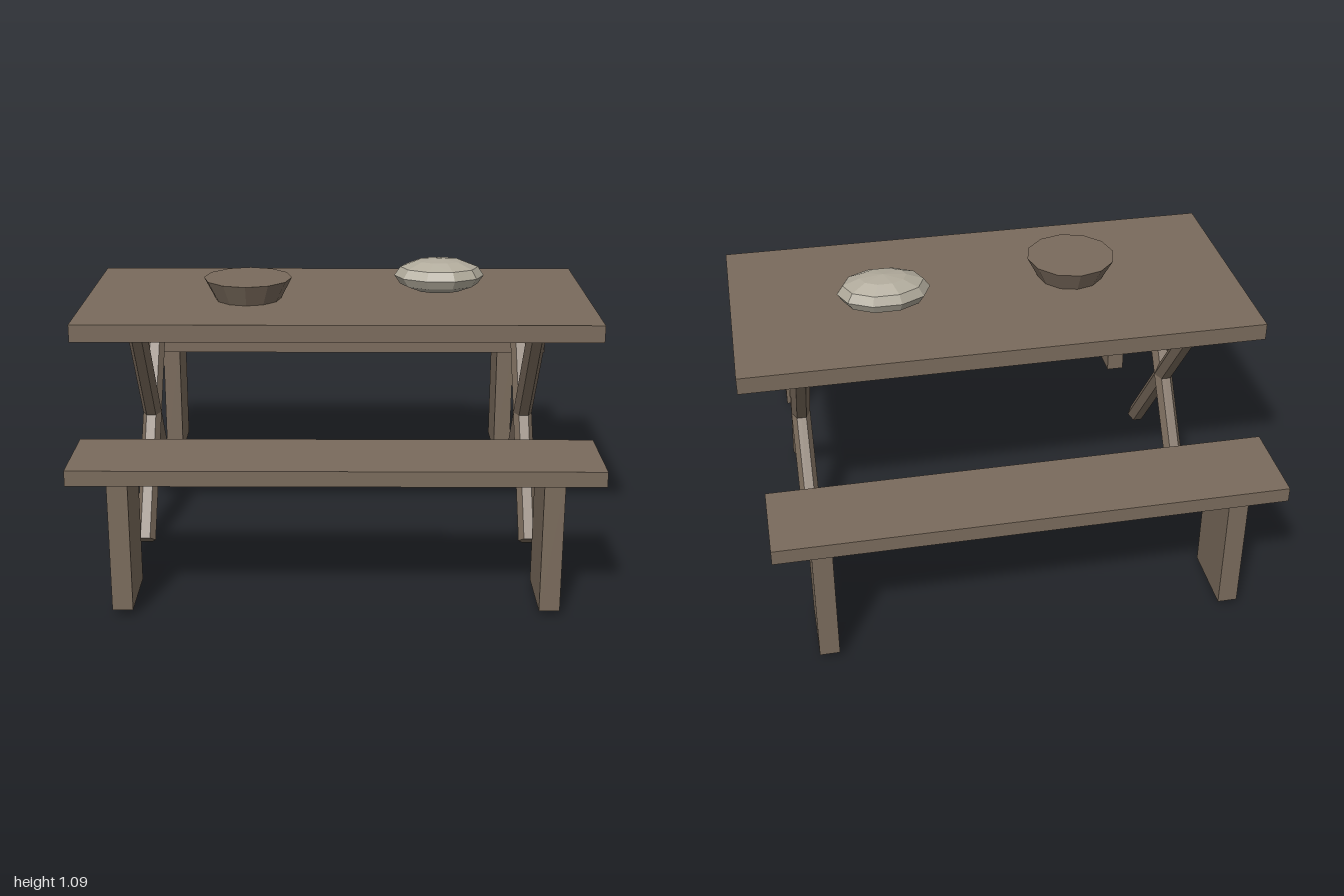
import * as THREE from 'three';

export function createModel() {
  const model = new THREE.Group();
  model.name = 'picnicTable';

  const wood = new THREE.MeshStandardMaterial({ color: 0x7a6b5c });
  wood.name = 'wood';
  wood.flatShading = true;
  const crust = new THREE.MeshStandardMaterial({ color: 0xb0aa9b });
  crust.name = 'paleCrust';
  crust.flatShading = true;

  const add = (parent, name, geometry, material, x, y, z) => {
    const mesh = new THREE.Mesh(geometry, material);
    mesh.name = name;
    mesh.position.set(x, y, z);
    parent.add(mesh);
    return mesh;
  };

  // Table top
  add(model, 'tableTop', new THREE.BoxGeometry(2, 0.067, 0.937), wood, 0, 0.918, 0);

  // Crossed hexagonal legs, a corner of each hexagon facing sideways
  const legX = 0.765, reach = 0.327, low = 0.02, high = 0.885;
  const legGeometry = new THREE.CylinderGeometry(
    0.038, 0.038, Math.hypot(2 * reach, high - low), 6).rotateY(Math.PI / 6);
  const lean = Math.atan2(2 * reach, high - low);
  for (const side of [-1, 1]) {
    for (const dir of [-1, 1]) {
      const leg = add(model, 'tableLeg', legGeometry, wood, side * legX, (low + high) / 2, 0);
      leg.rotation.x = dir * lean;
    }
  }

  // Two benches on plank legs
  for (const side of [-1, 1]) {
    const bench = new THREE.Group();
    bench.name = side > 0 ? 'frontBench' : 'backBench';
    bench.position.z = side * 0.825;
    add(bench, 'benchSeat', new THREE.BoxGeometry(1.88, 0.057, 0.328), wood, 0, 0.543, 0);
    for (const end of [-1, 1]) {
      add(bench, 'benchLeg', new THREE.BoxGeometry(0.074, 0.49, 0.26), wood, end * legX, 0.27, 0);
    }
    model.add(bench);
  }

  // Twelve-sided bowl with a flat top
  add(model, 'bowl', new THREE.CylinderGeometry(0.175, 0.131, 0.085, 12), wood, -0.355, 0.9935, 0.054);

  // Faceted loaf
  const loaf = new THREE.SphereGeometry(1, 10, 6).scale(0.181, 0.07, 0.129);
  add(model, 'loaf', loaf, crust, 0.411, 1.02, -0.056);

  return model;
}
